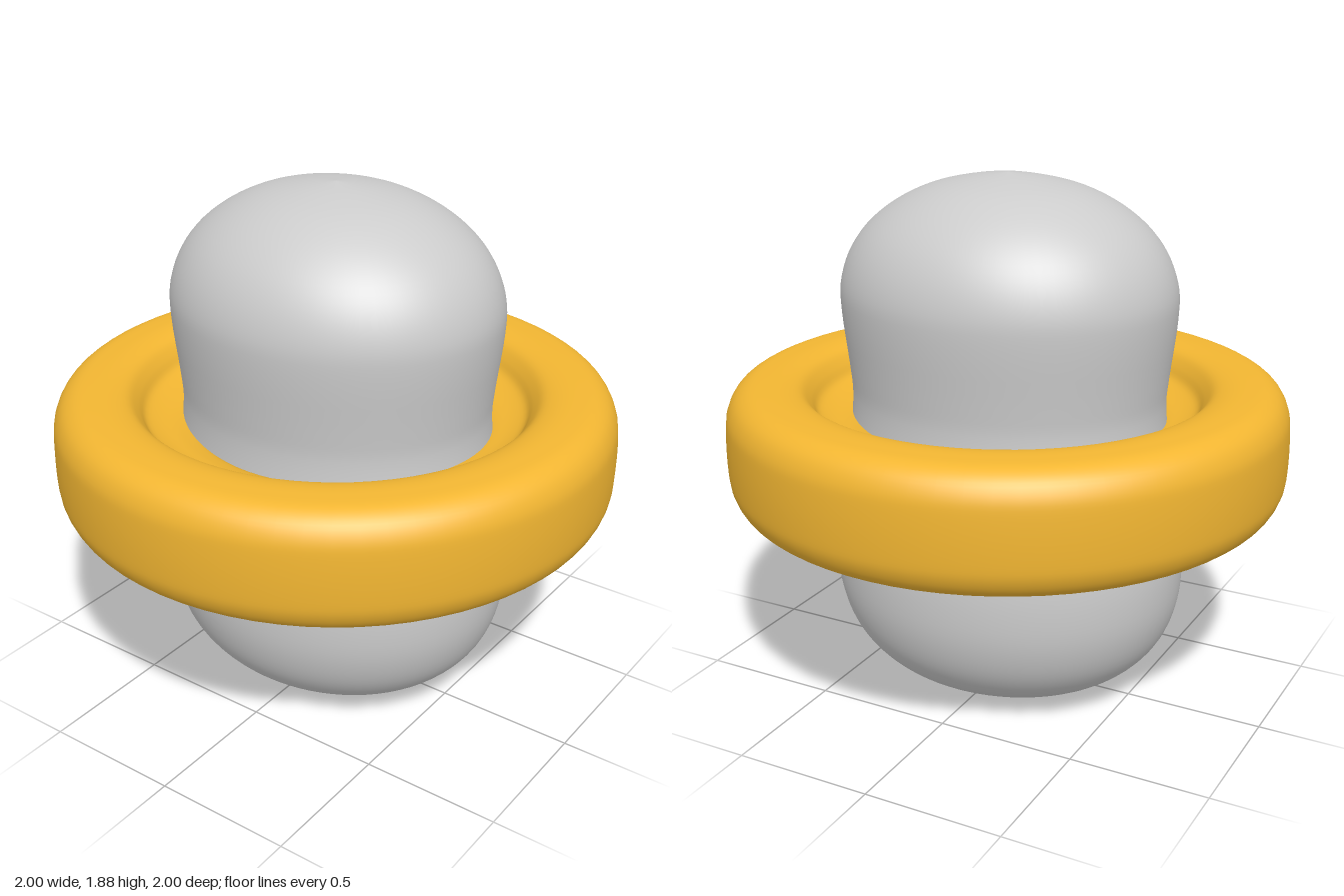
import * as THREE from 'three';

// Smooth curve through a few [radius, height] points, spun around y
function spin(name, points, color, steps, closed = false) {
  const curve = new THREE.CatmullRomCurve3(
    points.map(([r, y]) => new THREE.Vector3(r, y, 0)), closed, 'centripetal');
  const profile = curve.getPoints(steps).map(p => new THREE.Vector2(Math.max(p.x, 0), p.y));
  const mesh = new THREE.Mesh(
    new THREE.LatheGeometry(profile, 72),
    new THREE.MeshStandardMaterial({ color }));
  mesh.name = name;
  return mesh;
}

export function createModel() {
  const group = new THREE.Group();
  group.name = 'ringedBody';

  // Oval waisted body, from the bottom up to the slightly pointed crown
  const body = spin('body', [
    [0, 0.01], [0.16, 0.018], [0.32, 0.04], [0.44, 0.085], [0.53, 0.15], [0.6, 0.24],
    [0.643, 0.36], [0.655, 0.5], [0.645, 0.64], [0.625, 0.76], [0.59, 0.95],
    [0.575, 1.1], [0.583, 1.2], [0.606, 1.4], [0.606, 1.5], [0.575, 1.6],
    [0.515, 1.69], [0.42, 1.77], [0.29, 1.835], [0.14, 1.872], [0, 1.89],
  ], 0xcccccc, 80);
  body.scale.z = 0.86;
  group.add(body);

  // Fat ring with a recessed inner lip; lower half mirrored to the upper half
  const midY = 0.947;
  const upper = [
    [1, 0.07], [0.992, 0.13], [0.965, 0.18], [0.92, 0.21], [0.86, 0.218],
    [0.79, 0.217], [0.735, 0.2], [0.7, 0.16], [0.675, 0.12], [0.63, 0.1],
    [0.56, 0.085], [0.49, 0.05],
  ];
  const lower = upper.map(([r, h]) => [r, -h]).reverse();
  const outline = [...lower, ...upper].map(([r, h]) => [r, midY + h]);
  group.add(spin('ring', outline, 0xf2b632, 96, true));

  return group;
}
